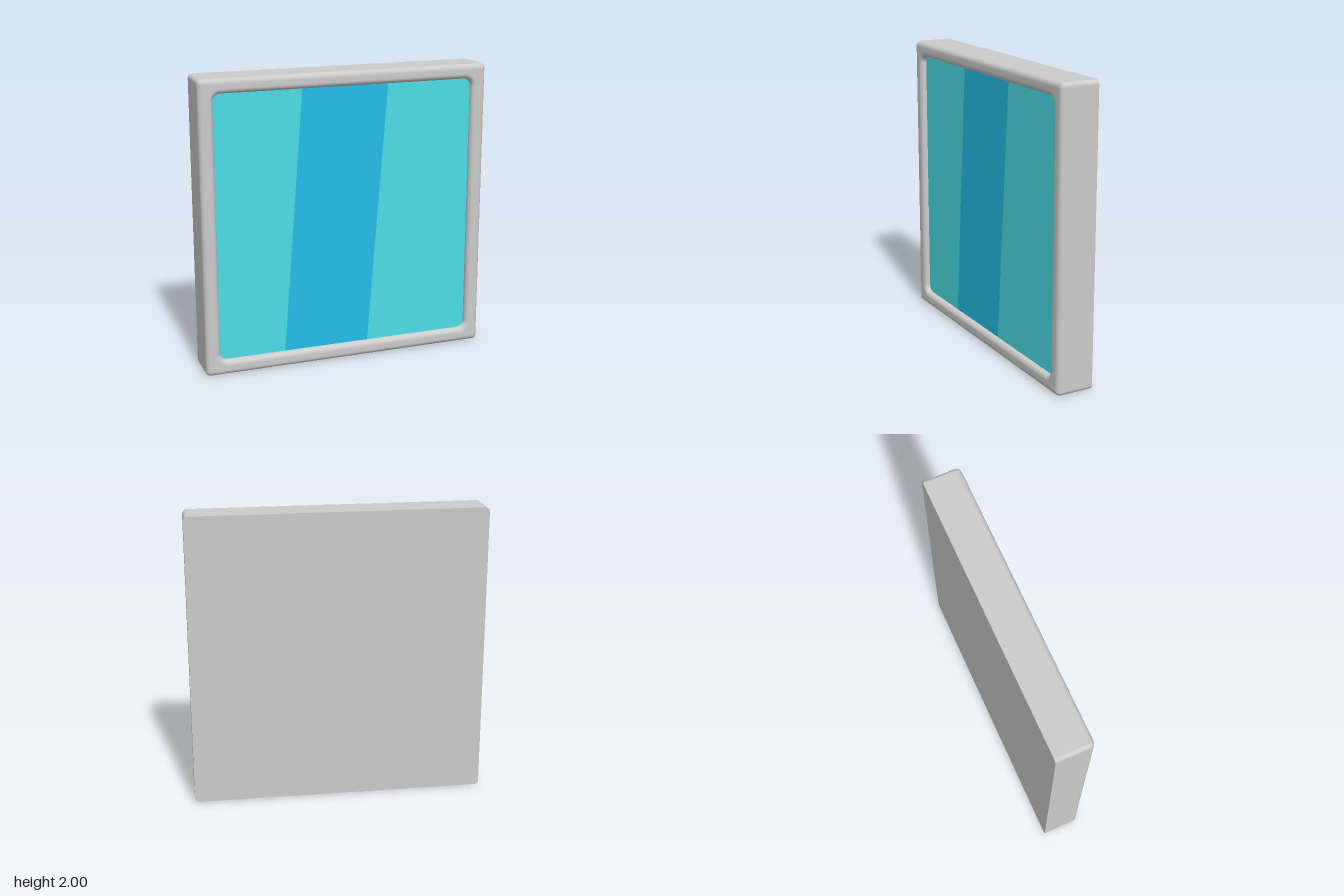
import * as THREE from 'three';

const DEPTH = 0.13;   // half thickness
const PANE_Z = 0.09;  // pane sits slightly recessed
const INNER = 0.9, INNER_R = 0.05, OUTER_R = 0.03, BEVEL = 0.035;

const grey = () => new THREE.MeshStandardMaterial({ color: 0xcccccc });

// Points of a rounded square outline, counter-clockwise seen from the front
function outline(half, radius, steps = 6) {
  const points = [];
  for (let c = 0; c < 4; c++) {
    const mid = Math.PI / 4 + c * Math.PI / 2;
    const cx = Math.sign(Math.cos(mid)) * (half - radius);
    const cy = Math.sign(Math.sin(mid)) * (half - radius);
    for (let i = 0; i <= steps; i++) {
      const a = (c + i / steps) * Math.PI / 2;
      points.push(new THREE.Vector2(cx + radius * Math.cos(a), cy + radius * Math.sin(a)));
    }
  }
  return points;
}

// Frame surface lofted through rings: outer wall, rounded front, inner wall
function frameGeometry() {
  const rings = [[1, OUTER_R, -DEPTH]];
  const n = 6;
  for (let i = 0; i <= n; i++) {
    const a = i / n * Math.PI / 2, inset = BEVEL * (1 - Math.cos(a));
    rings.push([1 - inset, OUTER_R - inset * 0.7, DEPTH - BEVEL * (1 - Math.sin(a))]);
  }
  for (let i = 0; i <= n; i++) {
    const a = i / n * Math.PI / 2, grow = BEVEL * (1 - Math.sin(a));
    rings.push([INNER + grow, INNER_R + grow, DEPTH - BEVEL * (1 - Math.cos(a))]);
  }
  rings.push([INNER, INNER_R, PANE_Z]);

  const positions = [], index = [];
  let count = 0;
  for (const [half, radius, z] of rings) {
    const pts = outline(half, radius);
    count = pts.length;
    for (const p of pts) positions.push(p.x, p.y, z);
  }
  for (let r = 0; r < rings.length - 1; r++) {
    for (let i = 0; i < count; i++) {
      const a = r * count + i, b = r * count + (i + 1) % count;
      index.push(a, b, b + count, a, b + count, a + count);
    }
  }
  const geometry = new THREE.BufferGeometry();
  geometry.setAttribute('position', new THREE.Float32BufferAttribute(positions, 3));
  geometry.setIndex(index);
  geometry.computeVertexNormals();
  return geometry;
}

// Side part of the pane: rounded outer corners, slanted inner edge
function sidePane(side, topX, bottomX) {
  const corners = outline(INNER, INNER_R).filter(p => p.x * side > INNER / 2);
  corners.sort((a, b) => a.y - b.y);
  return new THREE.Shape([
    new THREE.Vector2(bottomX, -INNER), ...corners, new THREE.Vector2(topX, INNER),
  ]);
}

export function createModel() {
  const model = new THREE.Group();
  model.name = 'framedWindow';
  const add = (name, geometry, material, z = 0) => {
    const mesh = new THREE.Mesh(geometry, material);
    mesh.name = name;
    mesh.position.set(0, 1, z);
    model.add(mesh);
    return mesh;
  };

  add('frame', frameGeometry(), grey());

  // Flat back, kept separate for a sharp rear edge
  const back = new THREE.ShapeGeometry(new THREE.Shape(outline(1, OUTER_R)));
  add('backPanel', back, grey(), -DEPTH).rotation.y = Math.PI;

  // Glass pane with a slanted stripe of reflection
  const glass = new THREE.MeshStandardMaterial({ color: 0x4cdde8 });
  const stripe = new THREE.MeshStandardMaterial({ color: 0x23bee8 });
  add('rightGlass', new THREE.ShapeGeometry(sidePane(-1, -0.3, -0.44)), glass, PANE_Z);
  add('leftGlass', new THREE.ShapeGeometry(sidePane(1, 0.3, 0.16)), glass, PANE_Z);
  const stripeShape = new THREE.Shape([
    new THREE.Vector2(-0.44, -INNER), new THREE.Vector2(0.16, -INNER),
    new THREE.Vector2(0.3, INNER), new THREE.Vector2(-0.3, INNER),
  ]);
  add('glassStripe', new THREE.ShapeGeometry(stripeShape), stripe, PANE_Z);

  return model;
}
